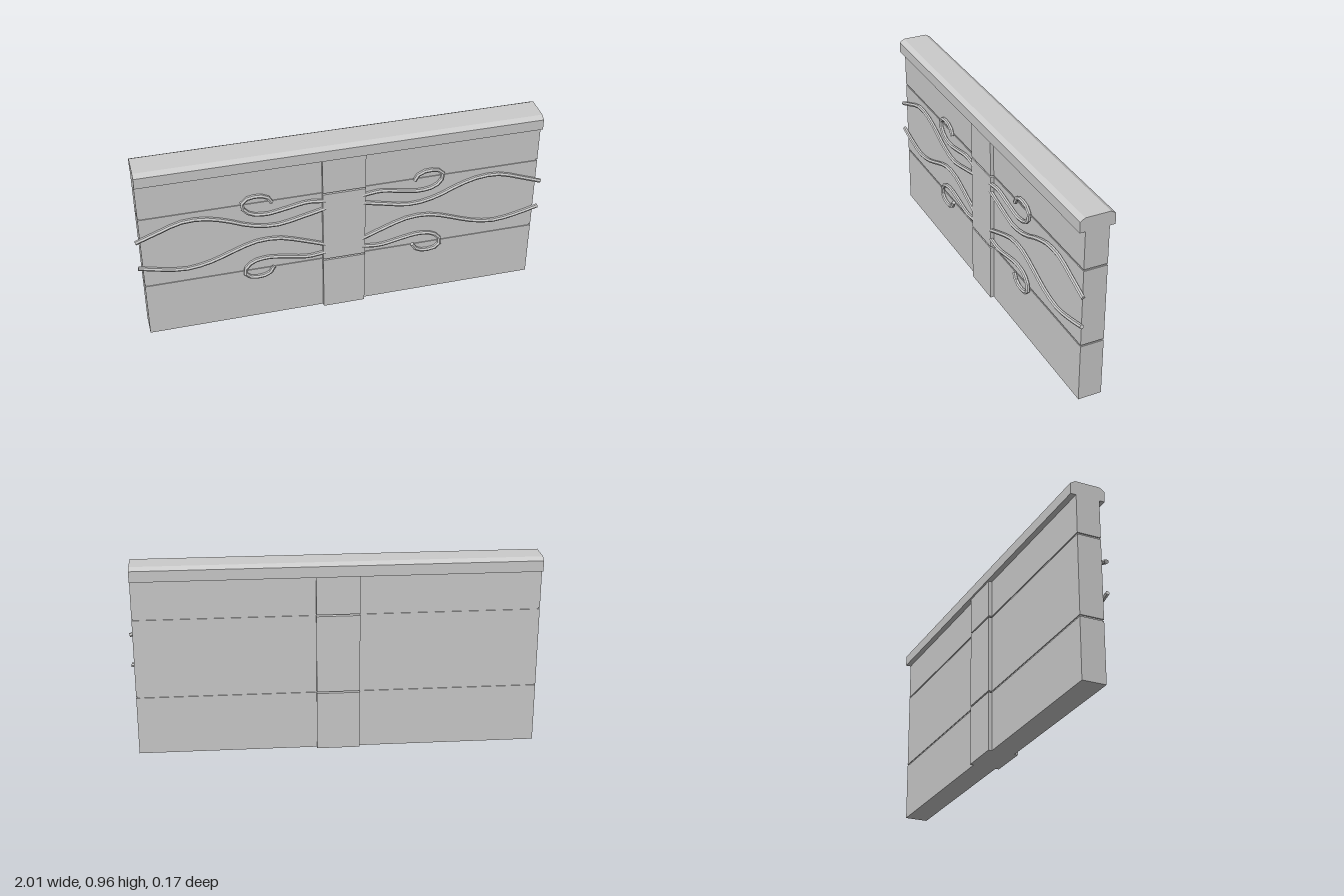
import * as THREE from 'three';

const mat = new THREE.MeshStandardMaterial({ color: 0xcccccc });
const tubeMat = new THREE.MeshStandardMaterial({ color: 0xcccccc, flatShading: true });

function add(parent, name, geometry, material = mat) {
  const mesh = new THREE.Mesh(geometry, material);
  mesh.name = name;
  parent.add(mesh);
  return mesh;
}

// Box given by full width, bottom, top and full depth
function block(parent, name, w, y0, y1, d) {
  add(parent, name, new THREE.BoxGeometry(w, y1 - y0, d)).position.y = (y0 + y1) / 2;
}

const HALF = 0.978, POST = 0.105, TUBE_Z = 0.068, TUBE_R = 0.0105;

// Six-sided vine along a flat path, closed at its outer end
function vine(parent, name, points, side, segments) {
  const curve = new THREE.CatmullRomCurve3(
    points.map(([x, y]) => new THREE.Vector3(x * side, y, TUBE_Z)));
  const group = new THREE.Group();
  group.name = name;
  add(group, 'stem', new THREE.TubeGeometry(curve, segments, TUBE_R, 6), tubeMat);
  const tip = add(group, 'tip', new THREE.CircleGeometry(TUBE_R, 6), tubeMat);
  tip.position.copy(curve.getPointAt(1));
  tip.quaternion.setFromUnitVectors(new THREE.Vector3(0, 0, 1), curve.getTangentAt(1));
  parent.add(group);
}

export function createModel() {
  const model = new THREE.Group();
  model.name = 'wallSection';

  // Recessed core seen inside the joints
  block(model, 'core', 2 * HALF - 0.012, 0.01, 0.9, 0.108);

  // Three courses, each with its wall slab and projecting centre pilaster
  const courses = [[0, 0.294], [0.302, 0.692], [0.7, 0.9]];
  courses.forEach(([y0, y1]) => {
    block(model, 'wallCourse', 2 * HALF, y0, y1, 0.116);
    block(model, 'pilasterCourse', 2 * POST, y0, y1, 0.152);
  });

  // Coping with chamfered top edges, extruded along x
  const profile = new THREE.Shape([
    [-0.085, 0.89], [0.085, 0.89], [0.085, 0.944],
    [0.061, 0.959], [-0.061, 0.959], [-0.085, 0.944],
  ].map(([z, y]) => new THREE.Vector2(z, y)));
  const coping = new THREE.ExtrudeGeometry(profile, { depth: 2 * HALF, bevelEnabled: false });
  coping.translate(0, 0, -HALF);
  coping.rotateY(Math.PI / 2);
  add(model, 'coping', coping);

  // Vine ornament on the front, mirrored about the pilaster
  const upperWave = [[0.09, 0.607], [0.2, 0.58], [0.335, 0.554], [0.46, 0.575], [0.56, 0.618],
    [0.67, 0.652], [0.78, 0.653], [0.89, 0.615], [1, 0.573]];
  const lowerWave = [[0.09, 0.388], [0.2, 0.432], [0.32, 0.472], [0.43, 0.473], [0.54, 0.437],
    [0.65, 0.395], [0.77, 0.374], [0.89, 0.392], [1, 0.421]];
  const upperCurl = [[0.09, 0.65], [0.18, 0.66], [0.29, 0.64], [0.38, 0.627], [0.455, 0.642],
    [0.492, 0.685], [0.485, 0.72], [0.44, 0.737], [0.375, 0.727], [0.35, 0.69]];
  const lowerCurl = upperCurl.map(([x, y]) => [x, 0.992 - y]);
  for (const side of [1, -1]) {
    const label = side > 0 ? 'left' : 'right';
    vine(model, label + 'UpperWave', upperWave, side, 16);
    vine(model, label + 'LowerWave', lowerWave, side, 16);
    vine(model, label + 'UpperCurl', upperCurl, side, 18);
    vine(model, label + 'LowerCurl', lowerCurl, side, 18);
  }
  return model;
}
